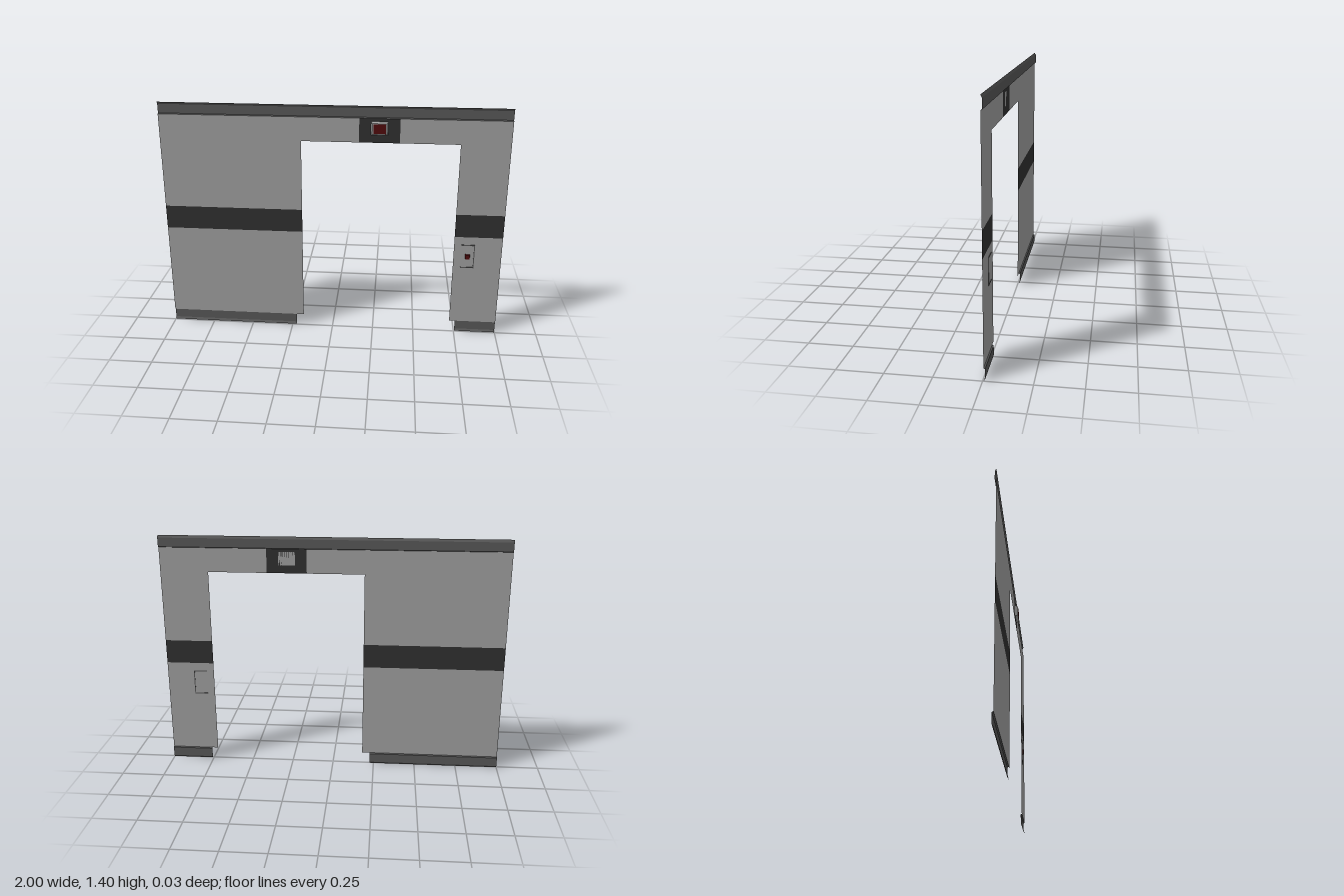
import * as THREE from 'three';

const mat = (name, color) => {
  const m = new THREE.MeshStandardMaterial({ color, side: THREE.DoubleSide });
  m.name = name;
  return m;
};

const WALL_Z = -0.005, BACK_Z = -0.013;

export function createModel() {
  const root = new THREE.Group();
  root.name = 'doorwayWall';
  const grey = mat('wallGrey', 0xa0a0a0);
  const trim = mat('trimGrey', 0x585858);
  const dark = mat('darkPanel', 0x303030);
  const red = mat('signalRed', 0x500a0c);

  const add = (name, geo, material) => {
    const mesh = new THREE.Mesh(geo, material);
    mesh.name = name;
    root.add(mesh);
    return mesh;
  };
  // Flat sheet between two corners
  const sheet = (name, x0, x1, y0, y1, material, z = WALL_Z) =>
    add(name, new THREE.PlaneGeometry(x1 - x0, y1 - y0)
      .translate((x0 + x1) / 2, (y0 + y1) / 2, z), material);
  // Box whose front face is inset to make sloping sides
  const block = (name, x0, x1, y0, y1, z0, z1, inset, material) => {
    const w = x1 - x0, h = y1 - y0;
    const geo = new THREE.BoxGeometry(w, h, z1 - z0);
    const p = geo.attributes.position;
    for (let i = 0; i < p.count; i++) {
      if (p.getZ(i) > 0) {
        p.setX(i, p.getX(i) * (1 - 2 * inset / w));
        p.setY(i, p.getY(i) * (1 - 2 * inset / h));
      }
    }
    geo.translate((x0 + x1) / 2, (y0 + y1) / 2, (z0 + z1) / 2);
    geo.computeVertexNormals();
    return add(name, geo, material);
  };
  // Open folded strip swept along x; profile points are [z, y]
  const strip = (name, x0, x1, profile) => {
    const pos = [];
    for (let i = 0; i < profile.length - 1; i++) {
      const [za, ya] = profile[i], [zb, yb] = profile[i + 1];
      pos.push(x0, ya, za, x1, ya, za, x1, yb, zb, x0, ya, za, x1, yb, zb, x0, yb, zb);
    }
    const geo = new THREE.BufferGeometry();
    geo.setAttribute('position', new THREE.Float32BufferAttribute(pos, 3));
    geo.computeVertexNormals();
    return add(name, geo, trim);
  };

  // Wall on each side of the opening, split by the dark stripe
  for (const [side, x0, x1] of [['right', -1, -0.18], ['left', 0.72, 1]]) {
    sheet(side + 'LowerWall', x0, x1, 0.07, 0.63, grey);
    sheet(side + 'Stripe', x0, x1, 0.63, 0.77, dark);
    sheet(side + 'UpperWall', x0, x1, 0.77, 1.33, grey);
  }
  // Lintel with its dark centre panel
  sheet('rightLintel', -0.18, 0.15, 1.19, 1.33, grey);
  sheet('lintelPanel', 0.15, 0.38, 1.19, 1.33, dark);
  sheet('leftLintel', 0.38, 0.72, 1.19, 1.33, grey);

  // Recessed skirting and crown
  const base = [[WALL_Z, 0], [BACK_Z, 0.012], [BACK_Z, 0.066], [WALL_Z, 0.07]];
  strip('rightSkirting', -1, -0.225, base);
  strip('leftSkirting', 0.755, 1, base);
  strip('crown', -1, 1,
    [[WALL_Z, 1.33], [BACK_Z, 1.334], [BACK_Z, 1.386], [WALL_Z, 1.4]]);

  // Lamp over the opening
  block('lampHousing', 0.217, 0.313, 1.235, 1.312, WALL_Z, 0.0125, 0.007, grey);
  block('lampLens', 0.23, 0.3, 1.246, 1.301, 0.012, 0.013, 0, red);

  // Door control with three raised edges and a button
  sheet('controlPlate', 0.765, 0.838, 0.439, 0.578, grey, -0.003);
  const edges = [[0.762, 0.842, 0.576, 0.582], [0.762, 0.842, 0.433, 0.438],
    [0.837, 0.842, 0.433, 0.582]];
  for (const [x0, x1, y0, y1] of edges)
    block('controlEdge', x0, x1, y0, y1, -0.0065, -0.001, 0, trim);
  block('controlButton', 0.788, 0.816, 0.49, 0.522, -0.003, 0.005, 0.003, red);

  return root;
}
